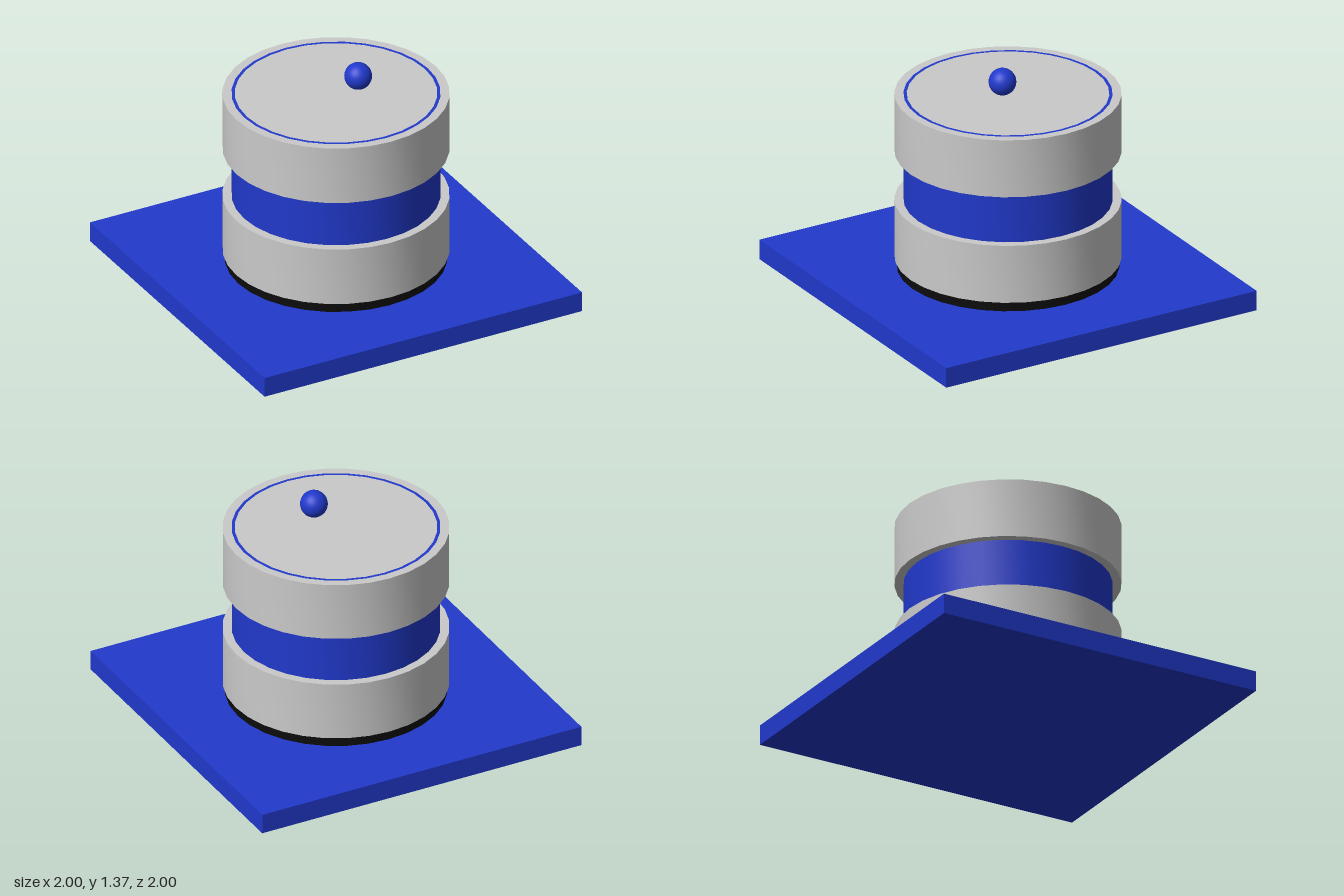
import * as THREE from 'three';
import { toCreasedNormals } from 'three/addons/utils/BufferGeometryUtils.js';

const SEGMENTS = 32;

function material(name, color) {
  const m = new THREE.MeshStandardMaterial({ color });
  m.name = name;
  return m;
}

// Hollow ring with a rectangular section, sharp rims and smooth walls
function ringGeometry(inner, outer, bottom, top) {
  const profile = [
    [inner, bottom], [outer, bottom], [outer, top], [inner, top], [inner, bottom],
  ].map(([r, y]) => new THREE.Vector2(r, y));
  return toCreasedNormals(new THREE.LatheGeometry(profile, SEGMENTS), Math.PI / 6);
}

function drumGeometry(radius, bottom, top) {
  return new THREE.CylinderGeometry(radius, radius, top - bottom, SEGMENTS)
    .translate(0, (bottom + top) / 2, 0);
}

export function createModel() {
  const blue = material('blue', 0x2139cc);
  const grey = material('light grey', 0xcacaca);
  const black = material('black', 0x0c0c0c);

  const model = new THREE.Group();
  model.name = 'bandedDrumOnPlate';
  const add = (name, geometry, mat) => {
    const mesh = new THREE.Mesh(geometry, mat);
    mesh.name = name;
    model.add(mesh);
    return mesh;
  };

  // Square base plate and dark gasket
  add('basePlate', new THREE.BoxGeometry(2, 0.118, 2).translate(0, 0.059, 0), blue);
  add('gasket', drumGeometry(0.615, 0.118, 0.175), black);

  // Inner core inside a thin blue sleeve, whose rim shows on top
  add('core', drumGeometry(0.56, 0.175, 1.16), grey);
  add('sleeve', ringGeometry(0.56, 0.578, 0.175, 1.16), blue);

  // Two wide collars
  add('lowerCollar', ringGeometry(0.578, 0.628, 0.175, 0.52), grey);
  add('upperCollar', ringGeometry(0.578, 0.628, 0.815, 1.16), grey);

  // Small floating ball
  add('ball', new THREE.SphereGeometry(0.077, 32, 16), blue).position.set(0.09, 1.288, 0.09);

  return model;
}
